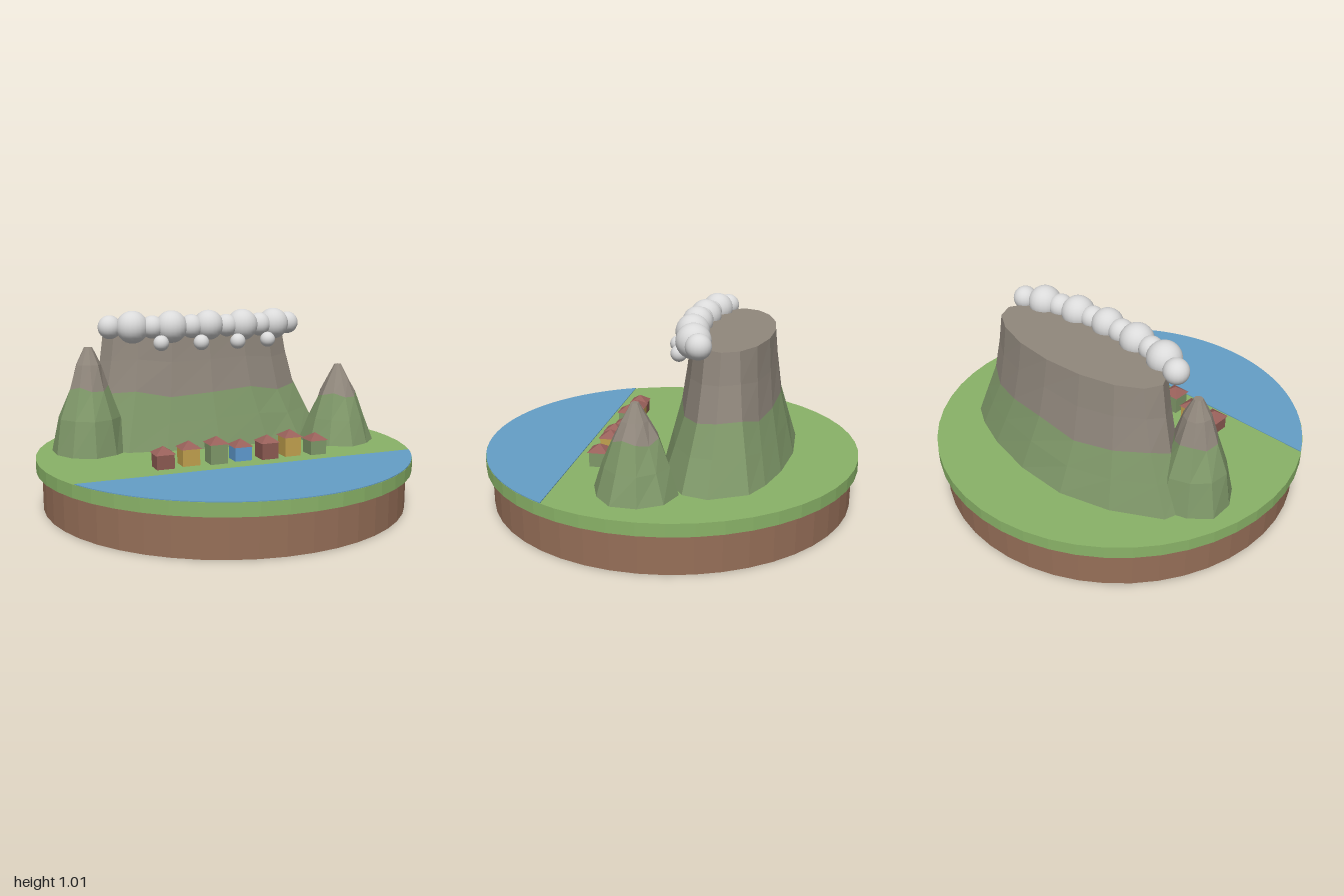
import * as THREE from 'three';

const paint = (name, color, flat = true) => {
  const m = new THREE.MeshStandardMaterial({ color });
  m.name = name;
  m.flatShading = flat;
  return m;
};

const GROUND = 0.265;
const TILT = 0.559; // direction of the coast, the houses and the mountain

// Loft closed rings (ordered from +x towards +z, bottom to top), optionally capped
function loft(rings, cap) {
  const p = [];
  const tri = (...v) => v.forEach((q) => p.push(q.x, q.y, q.z));
  const n = rings[0].length;
  for (let r = 0; r < rings.length - 1; r++) {
    for (let i = 0; i < n; i++) {
      const j = (i + 1) % n, lo = rings[r], hi = rings[r + 1];
      tri(lo[i], hi[i], lo[j]);
      tri(lo[j], hi[i], hi[j]);
    }
  }
  if (cap) {
    const top = rings[rings.length - 1];
    const c = new THREE.Vector3();
    top.forEach((v) => c.addScaledVector(v, 1 / n));
    for (let i = 0; i < n; i++) tri(c, top[(i + 1) % n], top[i]);
  }
  const g = new THREE.BufferGeometry();
  g.setAttribute('position', new THREE.Float32BufferAttribute(p, 3));
  g.computeVertexNormals();
  return g;
}

export function createModel() {
  const model = new THREE.Group();
  const grass = paint('grass', 0x8ab368);
  const earth = paint('earth', 0x966f58);
  const water = paint('water', 0x659fc7);
  const slope = paint('slopeGreen', 0x7f9869);
  const rock = paint('rock', 0x91887d);
  const cloud = paint('cloud', 0xdadada, false);
  const roofRed = paint('roofRed', 0x98605a);
  const wallRed = paint('wallRed', 0x8c5a52);
  const wallYellow = paint('wallYellow', 0xc2a14e);
  const wallBlue = paint('wallBlue', 0x5f9bd0);

  const add = (parent, name, geo, mat, x = 0, y = 0, z = 0) => {
    const m = new THREE.Mesh(geo, mat);
    m.name = name;
    m.position.set(x, y, z);
    parent.add(m);
    return m;
  };

  // Round base
  add(model, 'earthDisc', new THREE.CylinderGeometry(0.97, 0.97, 0.2, 48), earth, 0, 0.1);
  add(model, 'grassDisc', new THREE.CylinderGeometry(1, 1, 0.065, 48), grass, 0, 0.2325);

  // Bay: a circle segment cut off by the straight coast
  const mid = Math.atan2(-Math.cos(TILT), -Math.sin(TILT));
  const half = Math.acos(0.43);
  const bay = new THREE.Shape();
  bay.absarc(0, 0, 0.997, mid - half, mid + half, false);
  bay.closePath();
  const bayGeo = new THREE.ExtrudeGeometry(bay, { depth: 0.004, bevelEnabled: false, curveSegments: 28 });
  bayGeo.rotateX(-Math.PI / 2);
  add(model, 'bay', bayGeo, water, 0, GROUND);

  // Flat-topped mountain: lumpy foot outline blended into an elliptical plateau
  const foot = [
    [0.74, 0.01], [0.71, 0.135], [0.514, 0.257], [0.294, 0.3], [0, 0.319], [-0.291, 0.288],
    [-0.493, 0.249], [-0.67, 0.12], [-0.735, 0], [-0.695, -0.13], [-0.461, -0.266],
    [-0.203, -0.344], [0.08, -0.345], [0.344, -0.298], [0.53, -0.235], [0.649, -0.17],
  ];
  const mountainRing = (y, t, wave = 0) => foot.map(([u, v], i) => {
    const a = (i / foot.length) * Math.PI * 2;
    return new THREE.Vector3(
      THREE.MathUtils.lerp(u, -0.02 + 0.535 * Math.cos(a), t),
      y + wave * Math.sin(i * 2.1 + 1),
      THREE.MathUtils.lerp(v, 0.213 * Math.sin(a) - 0.01, t),
    );
  });
  const treeLine = mountainRing(0.562, 0.67, 0.02);
  const mountain = new THREE.Group();
  mountain.name = 'flatMountain';
  mountain.position.set(0.15, 0, -0.28);
  mountain.rotation.y = -TILT;
  add(mountain, 'mountainSlope', loft([mountainRing(GROUND, 0), mountainRing(0.42, 0.35, 0.012), treeLine]), slope);
  add(mountain, 'mountainCliff', loft([treeLine, mountainRing(0.74, 0.87, 0.01), mountainRing(0.9, 1)], true), rock);
  model.add(mountain);

  // Two pointed peaks; each profile is [radius, height], rock starts at ring 2
  const peak = (name, x, z, profile) => {
    const n = 10;
    const rings = profile.map(([r, y], k) => Array.from({ length: n }, (_, i) => {
      const a = ((i + 0.5) / n) * Math.PI * 2;
      const rr = r * (1 + 0.045 * Math.sin(i * 2.4 + k));
      const wave = k === 2 ? 0.015 * Math.sin(i * 1.9) : 0;
      return new THREE.Vector3(rr * Math.cos(a), y + wave, rr * Math.sin(a));
    }));
    const g = new THREE.Group();
    g.name = name;
    g.position.set(x, 0, z);
    add(g, name + 'Slope', loft(rings.slice(0, 3)), slope);
    add(g, name + 'Rock', loft(rings.slice(2), true), rock);
    model.add(g);
  };
  peak('leftPeak', 0.555, 0.39, [[0.203, GROUND], [0.158, 0.4], [0.108, 0.53], [0.064, 0.615], [0.018, 0.698]]);
  peak('rightPeak', -0.472, -0.54, [[0.2, GROUND], [0.165, 0.45], [0.106, 0.605], [0.068, 0.73], [0.022, 0.82]]);

  // Row of houses along the coast: x, z, wall height, wall colour
  const houses = [
    [-0.52, 0.01, 0.072, wallRed], [-0.395, 0.07, 0.085, wallYellow], [-0.285, 0.16, 0.1, slope],
    [-0.16, 0.22, 0.072, wallBlue], [-0.05, 0.31, 0.085, wallRed], [0.075, 0.37, 0.1, wallYellow],
    [0.185, 0.46, 0.075, slope],
  ];
  const roofGeo = new THREE.ConeGeometry(0.074, 0.036, 4);
  roofGeo.rotateY(Math.PI / 4);
  houses.forEach(([x, z, h, mat]) => {
    const house = new THREE.Group();
    house.name = 'house';
    house.position.set(x, GROUND, z);
    house.rotation.y = -TILT;
    add(house, 'walls', new THREE.BoxGeometry(0.09, h, 0.09), mat, 0, h / 2);
    add(house, 'roof', roofGeo, roofRed, 0, h + 0.018);
    model.add(house);
  });

  // Cloud bank rolling over the front rim: x, y, z, radius
  const puffs = [
    [-0.36, 0.92, -0.49, 0.063], [-0.29, 0.92, -0.39, 0.087], [-0.215, 0.92, -0.315, 0.062],
    [-0.135, 0.92, -0.25, 0.087], [-0.045, 0.92, -0.185, 0.065], [0.035, 0.925, -0.13, 0.082],
    [0.125, 0.92, -0.075, 0.062], [0.212, 0.92, -0.03, 0.087], [0.315, 0.92, 0.015, 0.065],
    [0.41, 0.92, 0.047, 0.087], [0.525, 0.92, 0.07, 0.063],
    [-0.22, 0.838, -0.25, 0.042], [-0.06, 0.838, -0.105, 0.042],
    [0.115, 0.838, 0.01, 0.042], [0.305, 0.838, 0.08, 0.042],
  ];
  const clouds = new THREE.Group();
  clouds.name = 'cloudBank';
  puffs.forEach(([x, y, z, r]) => add(clouds, 'cloudPuff', new THREE.SphereGeometry(r, 20, 14), cloud, x, y, z));
  model.add(clouds);

  return model;
}
